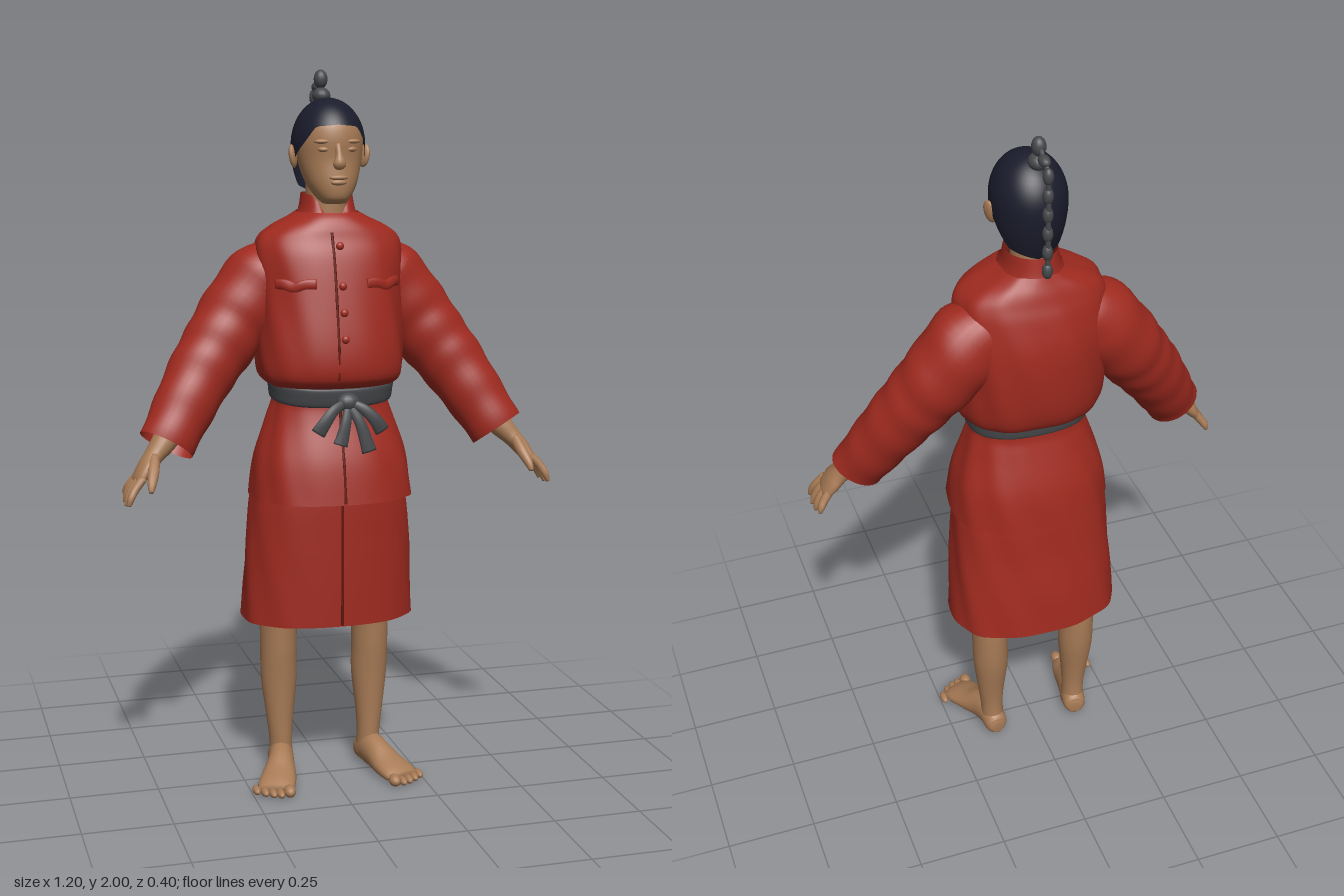
import * as THREE from 'three';

const mat = (name, color, side = THREE.FrontSide) => {
  const m = new THREE.MeshStandardMaterial({ color, side });
  m.name = name;
  return m;
};
const V = (x, y, z) => new THREE.Vector3(x, y, z);
const spow = (c, n) => Math.sign(c) * Math.pow(Math.abs(c), 2 / n);

// Catmull-Rom interpolation of rows of numbers
function smoothRows(rows, steps) {
  const out = [];
  for (let i = 0; i < rows.length - 1; i++) {
    const [a, b, c, d] = [rows[Math.max(i - 1, 0)], rows[i], rows[i + 1], rows[Math.min(i + 2, rows.length - 1)]];
    for (let k = 0; k < steps; k++) {
      const t = k / steps;
      out.push(b.map((p, j) => p + 0.5 * t * (c[j] - a[j] + t * (2 * a[j] - 5 * p + 4 * c[j] - d[j] + t * (3 * (p - c[j]) + d[j] - a[j])))));
    }
  }
  out.push(rows[rows.length - 1]);
  return out;
}

// Skin a list of closed rings
function skin(rings, cap = true) {
  if (cap) {
    const mid = (r) => { const c = V(0, 0, 0); r.forEach((p) => c.add(p)); c.divideScalar(r.length); return r.map(() => c.clone()); };
    rings = [mid(rings[0]), ...rings, mid(rings[rings.length - 1])];
  }
  const n = rings[0].length, pos = [], idx = [];
  rings.forEach((r) => r.forEach((p) => pos.push(p.x, p.y, p.z)));
  for (let i = 0; i < rings.length - 1; i++) for (let j = 0; j < n; j++) {
    const a = i * n + j, b = i * n + (j + 1) % n;
    idx.push(a, b, a + n, b, b + n, a + n);
  }
  const g = new THREE.BufferGeometry();
  g.setAttribute('position', new THREE.Float32BufferAttribute(pos, 3));
  g.setIndex(idx);
  g.computeVertexNormals();
  return g;
}

// Upright form from rows [y, halfWidth, frontZ, backZ, centreX]
function upright(rows, { n = 2, cap = true, seg = 48, tweak = () => {}, steps = 5 } = {}) {
  return skin(smoothRows(rows, steps).map(([y, rx, zf, zb, cx = 0]) => Array.from({ length: seg }, (_, j) => {
    const a = j / seg * Math.PI * 2;
    const p = V(cx + rx * spow(Math.sin(a), n), y, (zf + zb) / 2 + (zf - zb) / 2 * spow(Math.cos(a), n));
    tweak(p, a);
    return p;
  })), cap);
}

// Limb along rows [x, y, z, radiusAcross, radiusAlongHint]
function sweep(rows, { hint = V(0, 0, 1), cap = true, seg = 20, steps = 4, fold = 0, floor = -1 } = {}) {
  const s = smoothRows(rows, steps), P = s.map((r) => V(r[0], r[1], r[2]));
  return skin(s.map((r, i) => {
    const t = P[Math.min(i + 1, P.length - 1)].clone().sub(P[Math.max(i - 1, 0)]).normalize();
    const v = hint.clone().addScaledVector(t, -hint.dot(t)).normalize(), u = v.clone().cross(t);
    return Array.from({ length: seg }, (_, j) => {
      const a = j / seg * Math.PI * 2, k = 1 + fold * Math.sin(i * 1.1 + 2 * Math.sin(a));
      const p = P[i].clone().addScaledVector(u, r[3] * k * Math.cos(a)).addScaledVector(v, r[4] * k * Math.sin(a));
      p.y = Math.max(p.y, floor);
      return p;
    });
  }), cap);
}

function mirrored(geo) {
  const g = geo.clone().scale(-1, 1, 1), ix = g.index.array;
  for (let i = 0; i < ix.length; i += 3) [ix[i], ix[i + 1]] = [ix[i + 1], ix[i]];
  g.computeVertexNormals();
  return g;
}

const ball = (x, y, z, rx, ry, rz) => new THREE.SphereGeometry(1, 16, 12).scale(rx, ry, rz).translate(x, y, z);

export function createModel() {
  const root = new THREE.Group();
  const red = mat('red cloth', 0x9f2a1f, THREE.DoubleSide), seam = mat('dark red seam', 0x64180f);
  const skinTone = mat('skin', 0xa87b56), hair = mat('navy hair', 0x1b1c2c, THREE.DoubleSide), grey = mat('grey cord', 0x46484b);
  const add = (name, geo, m) => { const o = new THREE.Mesh(geo, m); o.name = name; root.add(o); return o; };
  const pair = (name, geo, m) => { add(name + 'Left', geo, m); add(name + 'Right', mirrored(geo), m); };

  // Jacket body and skirt
  const N = 2.4;
  const jacket = [[0.84, 0.226, 0.197, -0.172], [0.95, 0.212, 0.178, -0.155], [1.06, 0.176, 0.142, -0.122], [1.11, 0.16, 0.132, -0.108],
    [1.145, 0.167, 0.14, -0.112], [1.18, 0.197, 0.176, -0.155], [1.26, 0.203, 0.178, -0.176], [1.4, 0.2, 0.152, -0.18],
    [1.5, 0.205, 0.128, -0.16], [1.55, 0.195, 0.108, -0.143], [1.58, 0.16, 0.098, -0.133], [1.605, 0.11, 0.085, -0.122], [1.62, 0.083, 0.07, -0.115]];
  const skirt = [[0.48, 0.245, 0.137, -0.2], [0.6, 0.238, 0.138, -0.186], [0.72, 0.23, 0.138, -0.168], [0.86, 0.215, 0.136, -0.15], [0.95, 0.18, 0.12, -0.12]];
  const folds = (amount) => (p, a) => {
    const k = 1 + amount * Math.sin(a * 9 + p.y * 13) * Math.sin(a * 2 + p.y * 7) * (1 - Math.max(0, Math.cos(a)) ** 4);
    p.x *= k; p.z *= k;
  };
  add('jacketBody', upright(jacket, { n: N, cap: false, seg: 72, tweak: folds(0.018) }), red);
  add('skirt', upright(skirt, { n: N, cap: false, seg: 72, tweak: folds(0.015) }), red);

  // Standing collar, dipping to a V at the throat
  add('collar', upright([[1.585, 0.1, 0.087, -0.128], [1.625, 0.078, 0.07, -0.115], [1.67, 0.07, 0.055, -0.105]], {
    cap: false, tweak: (p, a) => { p.y -= 0.08 * Math.max(0, Math.cos(a)) ** 6 * Math.max(0, (p.y - 1.585) / 0.085); },
  }), red);

  // Point on the front of a garment
  const front = (rows, x, y, lift = 0) => {
    const i = Math.max(1, rows.findIndex((r) => r[0] >= y)), t = (y - rows[i - 1][0]) / (rows[i][0] - rows[i - 1][0]);
    const [, rx, zf, zb] = rows[i].map((q, j) => rows[i - 1][j] + (q - rows[i - 1][j]) * t);
    return V(x, y, (zf + zb) / 2 + (zf - zb) / 2 * Math.pow(1 - Math.abs(x / rx) ** N, 1 / N) + lift);
  };
  const line = (name, rows, x, y0, y1) => {
    const pts = Array.from({ length: 14 }, (_, i) => front(rows, x, y0 + (y1 - y0) * i / 13));
    add(name, new THREE.TubeGeometry(new THREE.CatmullRomCurve3(pts), 40, 0.004, 6), seam);
  };
  line('skirtSeam', skirt, 0.003, 0.483, 0.86);
  line('jacketLowerSeam', jacket, -0.004, 0.843, 1.09);
  line('jacketUpperSeam', jacket, -0.018, 1.18, 1.57);
  for (const y of [1.29, 1.36, 1.43, 1.535]) {
    const p = front(jacket, 0, y, 0.003);
    add('button', ball(p.x, p.y, p.z, 0.011, 0.011, 0.008), red);
  }
  // Chest pocket flaps
  for (const s of [1, -1]) {
    const rows = [0.07, 0.1, 0.125, 0.15, 0.17].map((x, i) => {
      const p = front(jacket, x * s, 1.435 - (i === 2 ? 0.008 : 0), 0.001);
      return [p.x, p.y, p.z, 0.014, 0.006];
    });
    add('pocketFlap', sweep(rows, { seg: 10 }), red);
  }

  // Sleeves
  pair('sleeve', sweep([[0.11, 1.475, -0.03, 0.07, 0.085], [0.165, 1.435, -0.042, 0.112, 0.102], [0.245, 1.345, -0.04, 0.108, 0.1], [0.305, 1.265, -0.02, 0.1, 0.092],
    [0.36, 1.19, 0.003, 0.093, 0.084], [0.42, 1.095, 0.038, 0.084, 0.075], [0.472, 1.008, 0.072, 0.077, 0.064]],
  { cap: false, seg: 32, steps: 6, fold: 0.02 }), red);

  // Forearms, palms, fingers and thumbs
  pair('forearm', sweep([[0.42, 1.1, 0.04, 0.045, 0.045], [0.475, 1.025, 0.078, 0.035, 0.036], [0.51, 0.985, 0.094, 0.026, 0.032],
    [0.535, 0.955, 0.105, 0.022, 0.043], [0.557, 0.925, 0.115, 0.015, 0.044], [0.562, 0.917, 0.117, 0.006, 0.035]]), skinTone);
  for (let i = 0; i < 4; i++) {
    const z = 0.082 + i * 0.023, d = (i - 1.3) * 0.008, l = [0.8, 1, 1.05, 0.95][i];
    pair('finger', sweep([[0.548, 0.938, z, 0.012, 0.012], [0.568 + 0.004 * l, 0.91, z + d * 0.6, 0.012, 0.012],
      [0.566 + 0.02 * l, 0.925 - 0.04 * l, z + d * 1.3, 0.01, 0.01], [0.564 + 0.028 * l, 0.925 - 0.06 * l, z + d * 1.5, 0.005, 0.005]], { seg: 10 }), skinTone);
  }
  pair('thumb', sweep([[0.512, 0.985, 0.11, 0.015, 0.018], [0.52, 0.955, 0.148, 0.016, 0.016], [0.53, 0.925, 0.178, 0.012, 0.012], [0.534, 0.905, 0.19, 0.006, 0.006]], { seg: 12 }), skinTone);

  // Bare legs and feet
  pair('leg', upright([[0.03, 0.034, -0.012, -0.088, 0.13], [0.1, 0.033, -0.008, -0.083, 0.132], [0.17, 0.039, -0.006, -0.088, 0.134], [0.28, 0.051, 0.0, -0.105, 0.135],
    [0.37, 0.052, 0.008, -0.11, 0.136], [0.48, 0.055, 0.015, -0.11, 0.135], [0.65, 0.07, 0.04, -0.12, 0.125], [0.85, 0.08, 0.06, -0.12, 0.105]], { seg: 24 }), skinTone);
  pair('foot', sweep([[0.126, 0.033, -0.094, 0.018, 0.02], [0.128, 0.035, -0.08, 0.033, 0.034], [0.134, 0.05, -0.035, 0.036, 0.05], [0.145, 0.045, 0.01, 0.039, 0.046],
    [0.162, 0.03, 0.06, 0.049, 0.033], [0.18, 0.02, 0.105, 0.053, 0.024], [0.19, 0.015, 0.132, 0.046, 0.014]], { hint: V(0, 1, 0), floor: 0.003 }), skinTone);
  for (let i = 0; i < 5; i++) {
    const r = i ? 0.0115 : 0.017;
    pair('toe', ball(0.154 + i * 0.02 + (i ? 0.005 : 0), r, 0.152 - i * i * 0.0028, r, r, 0.024), skinTone);
  }

  // Neck, head and face
  add('neck', upright([[1.54, 0.065, 0.03, -0.1], [1.62, 0.056, 0.028, -0.09], [1.72, 0.056, 0.03, -0.09]], { seg: 28 }), skinTone);
  add('head', upright([[1.645, 0.03, 0.082, 0.03], [1.662, 0.047, 0.1, -0.01], [1.7, 0.069, 0.105, -0.055], [1.76, 0.086, 0.1, -0.09],
    [1.82, 0.091, 0.103, -0.105], [1.865, 0.08, 0.09, -0.095], [1.9, 0.045, 0.05, -0.06]], { n: 2.1 }), skinTone);
  add('nose', sweep([[0, 1.805, 0.098, 0.008, 0.006], [0, 1.775, 0.106, 0.01, 0.012], [0, 1.752, 0.112, 0.018, 0.014], [0, 1.742, 0.105, 0.012, 0.008]], { seg: 14 }), skinTone);
  add('upperLip', ball(0, 1.716, 0.104, 0.026, 0.007, 0.009), skinTone);
  add('lowerLip', ball(0, 1.703, 0.103, 0.022, 0.008, 0.009), skinTone);
  pair('eyelid', ball(0.036, 1.79, 0.087, 0.018, 0.008, 0.012), skinTone);
  pair('brow', ball(0.038, 1.811, 0.088, 0.026, 0.007, 0.012), skinTone);
  pair('ear', ball(0, 0, 0, 0.01, 0.032, 0.02).rotateY(0.5).rotateZ(-0.15).translate(0.1, 1.77, 0.0), skinTone);

  // Cap of hair, cut along a hairline that drops from brow to nape
  const hairline = [[0, 1.855], [0.65, 1.85], [0.95, 1.81], [1.4, 1.765], [1.7, 1.755], [2.1, 1.69], [3.15, 1.66]];
  const edge = (a) => {
    const b = a > Math.PI ? Math.PI * 2 - a : a, i = Math.max(1, hairline.findIndex((h) => h[0] >= b));
    return THREE.MathUtils.mapLinear(b, hairline[i - 1][0], hairline[i][0], hairline[i - 1][1], hairline[i][1]);
  };
  const rings = [];
  for (let i = 0; i <= 18; i++) rings.push(Array.from({ length: 56 }, (_, j) => {
    const a = j / 56 * Math.PI * 2, f = 1 - i / 18, y = 1.925 - (1.925 - edge(a)) * f ** 1.8;
    const k = y > 1.8 ? Math.sqrt(Math.max(0, 1 - ((y - 1.8) / 0.125) ** 2)) : 1 - 0.28 * ((1.8 - y) / 0.14) ** 2;
    return V(0.1 * k * Math.sin(a), y, -0.01 + (Math.cos(a) > 0 ? 0.124 : 0.111) * k * Math.cos(a));
  }));
  add('hair', skin(rings, false), hair);

  // Knotted topknot cord hanging behind the head
  const cord = [V(0, 1.915, -0.075), V(0, 1.95, -0.082), V(0, 1.975, -0.085), V(0, 1.957, -0.118), V(0, 1.935, -0.148), V(0, 1.87, -0.155), V(0, 1.76, -0.155), V(0, 1.65, -0.15)];
  add('topknotCord', new THREE.TubeGeometry(new THREE.CatmullRomCurve3(cord), 50, 0.007, 8), grey);
  add('topknotBase', ball(0, 1.93, -0.077, 0.025, 0.022, 0.028), grey);
  add('topknotBulb', ball(0, 1.974, -0.084, 0.019, 0.026, 0.02), grey);
  add('cordBead', ball(0, 1.953, -0.123, 0.015, 0.015, 0.024), grey);
  for (let i = 0; i < 6; i++) add('cordBead', ball(0, 1.925 - i * 0.053, -0.153 + i * 0.0006, 0.014, 0.023, 0.014), grey);

  // Belt with knot, bow loops and hanging ends
  add('belt', upright([[1.103, 0.155, 0.13, -0.105], [1.106, 0.168, 0.143, -0.116], [1.13, 0.172, 0.15, -0.12], [1.154, 0.174, 0.152, -0.12], [1.157, 0.16, 0.14, -0.105]],
    { n: N, cap: false, tweak: (p, a) => { p.y += 0.008 - 0.012 * Math.cos(a); } }), grey);
  add('beltKnot', ball(0.01, 1.118, 0.163, 0.032, 0.026, 0.024), grey);
  const ribbons = [
    [[0, 1.118, 0.17], [-0.035, 1.1, 0.185], [-0.06, 1.07, 0.19], [-0.08, 1.04, 0.187]],
    [[0.01, 1.115, 0.17], [0.0, 1.07, 0.182], [-0.01, 1.03, 0.186], [-0.018, 1.005, 0.188]],
    [[0.01, 1.115, 0.17], [0.035, 1.07, 0.185], [0.052, 1.02, 0.19], [0.062, 0.985, 0.192]],
    [[0.015, 1.118, 0.17], [0.05, 1.1, 0.185], [0.08, 1.07, 0.19], [0.1, 1.04, 0.185]],
  ];
  ribbons.forEach((r) => add('beltRibbon', sweep(r.map((p, i) => [...p, 0.012 + i * 0.003, 0.008]), { seg: 12 }), grey));

  return root;
}
